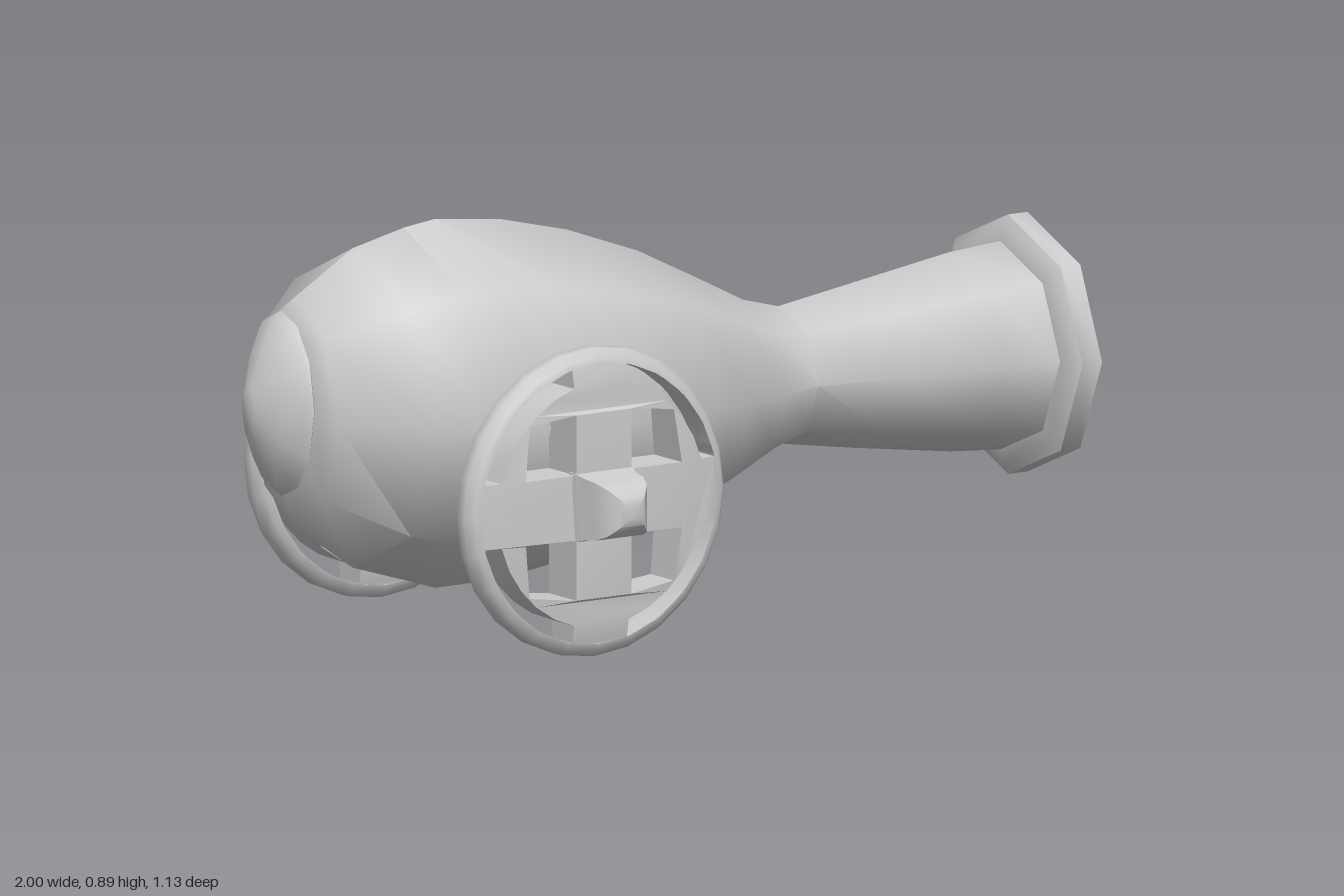
import * as THREE from 'three';
import { toCreasedNormals } from 'three/addons/utils/BufferGeometryUtils.js';

const material = new THREE.MeshStandardMaterial({ color: 0xcccccc });

function part(name, geometry, crease = 0.85) {
  const mesh = new THREE.Mesh(toCreasedNormals(geometry, crease), material);
  mesh.name = name;
  return mesh;
}

// Skin elliptical rings [x, centre y, radius y, radius z] along the x axis
function loft(stations, sides, phase = 0) {
  const pos = [], index = [];
  stations.forEach(([x, cy, ry, rz], s) => {
    for (let i = 0; i < sides; i++) {
      const a = phase + (i / sides) * Math.PI * 2;
      pos.push(x, cy + ry * Math.cos(a), rz * Math.sin(a));
      if (s === 0) continue;
      const j = (i + 1) % sides, p = (s - 1) * sides, q = s * sides;
      if (stations[s - 1][2] > 0) index.push(p + i, p + j, q + j);
      if (ry > 0) index.push(p + i, q + j, q + i);
      else index.push(p + i, p + j, q + i);
    }
  });
  const g = new THREE.BufferGeometry();
  g.setAttribute('position', new THREE.Float32BufferAttribute(pos, 3));
  g.setIndex(index);
  return g;
}

// Bulbous body, waist, flared muzzle lip, then back in along the bore
function makeBarrel() {
  return part('barrel', loft([
    [-0.91, 0.54, 0, 0], [-0.905, 0.535, 0.195, 0.125], [-0.88, 0.517, 0.248, 0.16],
    [-0.73, 0.51, 0.345, 0.31], [-0.6, 0.505, 0.38, 0.345], [-0.52, 0.497, 0.398, 0.355],
    [-0.35, 0.488, 0.388, 0.36], [-0.18, 0.48, 0.355, 0.35], [0, 0.47, 0.3, 0.3],
    [0.14, 0.463, 0.238, 0.232], [0.27, 0.46, 0.175, 0.175], [0.36, 0.463, 0.148, 0.155],
    [0.55, 0.463, 0.178, 0.18], [0.8, 0.465, 0.215, 0.213], [0.93, 0.465, 0.225, 0.225],
    [0.935, 0.465, 0.255, 0.255], [0.95, 0.465, 0.28, 0.28], [1, 0.465, 0.28, 0.28],
    [1, 0.465, 0.24, 0.24], [0.92, 0.465, 0.195, 0.195], [0.55, 0.465, 0.15, 0.15],
    [0.36, 0.465, 0.12, 0.12], [0.36, 0.465, 0, 0],
  ], 8));
}

// Shallow oval cap behind the body
function makeBreechCap() {
  return part('breechCap', loft([
    [-1, 0.54, 0, 0], [-0.998, 0.54, 0.045, 0.025], [-0.96, 0.54, 0.135, 0.08],
    [-0.925, 0.54, 0.192, 0.117], [-0.913, 0.54, 0.2, 0.122],
    [-0.9, 0.54, 0.18, 0.105], [-0.9, 0.54, 0, 0],
  ], 12));
}

// One window and one rim slot per quadrant
function wheelHoles() {
  const holes = [], arm = 0.07;
  const arc = (r, steps = 5) => {
    const start = Math.asin(arm / r), span = Math.PI / 2 - 2 * start;
    return Array.from({ length: steps + 1 }, (_, i) => {
      const a = start + (span * i) / steps;
      return [r * Math.cos(a), r * Math.sin(a)];
    });
  };
  const slot = [...arc(0.303), ...arc(0.265).reverse()];
  const window = [[arm, arm], [0.2, arm], [0.185, 0.185], [arm, 0.2]];
  for (const sx of [1, -1]) for (const sy of [1, -1]) {
    for (const outline of [slot, window]) {
      holes.push(new THREE.Path(outline.map(([x, y]) => new THREE.Vector2(x * sx, y * sy))));
    }
  }
  return holes;
}

function makeWheel() {
  const wheel = new THREE.Group();

  // Pierced disc, thinned towards its edge
  const shape = new THREE.Shape();
  shape.absarc(0, 0, 0.31, 0, Math.PI * 2, false);
  shape.holes = wheelHoles();
  const disc = new THREE.ExtrudeGeometry(shape, { depth: 2, bevelEnabled: false, curveSegments: 12 });
  disc.translate(0, 0, -1);
  const p = disc.attributes.position;
  for (let i = 0; i < p.count; i++) {
    const r = Math.hypot(p.getX(i), p.getY(i));
    const half = r < 0.22 ? 0.052 : 0.052 - (r - 0.22) * 0.2;
    p.setZ(i, p.getZ(i) * half);
  }
  wheel.add(part('spokedDisc', disc, 0.5));

  // Rounded tyre
  const tyre = new THREE.LatheGeometry([
    [0.303, -0.036], [0.318, -0.032], [0.333, -0.014], [0.333, 0.014],
    [0.318, 0.032], [0.303, 0.036], [0.303, -0.036],
  ].map(([r, z]) => new THREE.Vector2(r, z)), 24);
  tyre.rotateX(Math.PI / 2);
  wheel.add(part('tyre', tyre));

  // Square axle end with a rounded tip
  const hub = loft([
    [0.03, 0.075], [0.055, 0.073], [0.075, 0.066], [0.11, 0.062],
    [0.14, 0.05], [0.16, 0.03], [0.167, 0.012], [0.167, 0],
  ].map(([x, h]) => [x, 0, h * Math.SQRT2, h * Math.SQRT2]), 4, Math.PI / 4);
  hub.rotateY(-Math.PI / 2);
  wheel.add(part('hub', hub));
  return wheel;
}

export function createModel() {
  const model = new THREE.Group();
  model.name = 'cannon';
  model.add(makeBarrel(), makeBreechCap());
  for (const side of [1, -1]) {
    const wheel = makeWheel();
    wheel.name = side > 0 ? 'frontWheel' : 'backWheel';
    wheel.position.set(-0.395, 0.337, 0.4 * side);
    if (side < 0) wheel.rotation.y = Math.PI;
    model.add(wheel);
  }
  return model;
}
